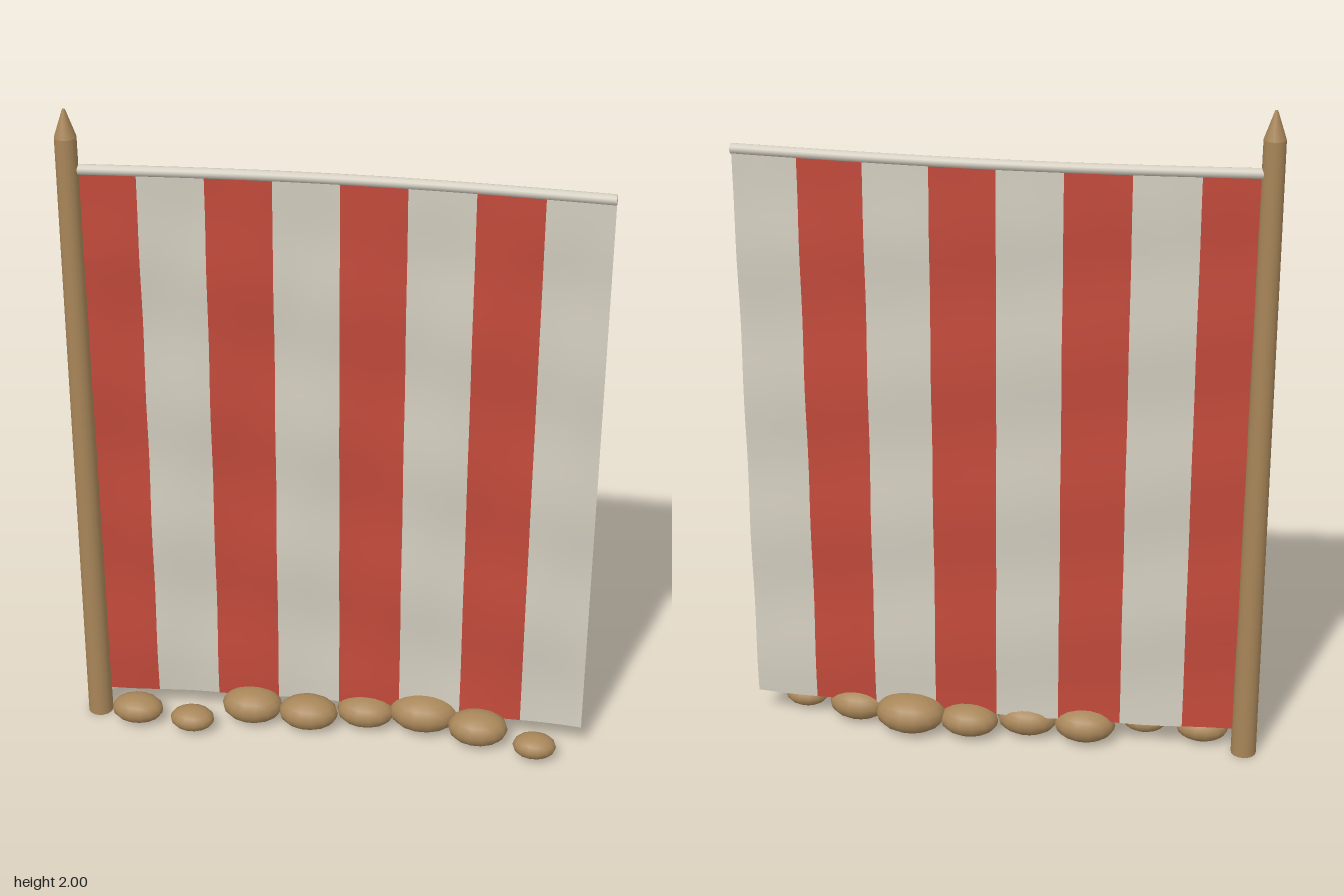
import * as THREE from 'three';

const wood = new THREE.MeshStandardMaterial({ name: 'tan', color: 0xa88659 });
const red = new THREE.MeshStandardMaterial({ name: 'red', color: 0xc24a3b, side: THREE.DoubleSide });
const cream = new THREE.MeshStandardMaterial({ name: 'cream', color: 0xd3cdbf, side: THREE.DoubleSide });

const LEFT = -0.73, WIDTH = 1.5, TOP = 1.825, BOTTOM = 0.08, STRIPES = 8;

// Backward bow shared by the rail and the cloth
const bow = (x) => -0.005 - 0.034 * Math.sin(Math.PI * (x - LEFT) / WIDTH);

// Small ripples that fade out at the rail
function clothZ(x, y) {
  const fade = Math.min(1, (TOP - y) / 0.25);
  return bow(x) + fade * (0.004 * Math.sin(y * 14 + x * 3) + 0.003 * Math.sin(x * 17 - y * 4));
}

function add(group, name, geometry, material, x = 0, y = 0, z = 0) {
  const mesh = new THREE.Mesh(geometry, material);
  mesh.name = name;
  mesh.position.set(x, y, z);
  group.add(mesh);
  return mesh;
}

// One vertical strip of the hanging cloth
function stripeGeometry(i) {
  const w = WIDTH / STRIPES;
  const g = new THREE.PlaneGeometry(w, TOP - BOTTOM, 6, 36);
  g.translate(LEFT + (i + 0.5) * w, (TOP + BOTTOM) / 2, 0);
  const p = g.attributes.position;
  for (let k = 0; k < p.count; k++) p.setZ(k, clothZ(p.getX(k), p.getY(k)));
  g.computeVertexNormals();
  return g;
}

export function createModel() {
  const model = new THREE.Group();
  model.name = 'stripedScreen';

  // Tapered post with a pointed cap
  add(model, 'post', new THREE.CylinderGeometry(0.031, 0.038, 1.92, 16), wood, LEFT, 0.96, -0.003);
  add(model, 'postTip', new THREE.CylinderGeometry(0.004, 0.031, 0.08, 16), wood, LEFT, 1.96, -0.003);

  // Curved top rail with closed ends
  const points = [];
  for (let i = 0; i <= 8; i++) {
    const x = LEFT + WIDTH * i / 8;
    points.push(new THREE.Vector3(x, TOP, bow(x)));
  }
  const curve = new THREE.CatmullRomCurve3(points);
  add(model, 'topRail', new THREE.TubeGeometry(curve, 32, 0.015, 12), cream);
  const end = points[8];
  const cap = add(model, 'railEnd', new THREE.CircleGeometry(0.015, 12), cream, end.x, end.y, end.z);
  cap.rotation.y = Math.PI / 2 - 0.07;

  // Cloth in alternating stripes
  for (let i = 0; i < STRIPES; i++) {
    add(model, 'clothStripe' + (i + 1), stripeGeometry(i), i % 2 ? cream : red);
  }

  // Stones along the foot: x, y, z, then the three radii
  const stones = [
    [-0.6, 0.05, 0.043, 0.08, 0.044, 0.058],
    [-0.423, 0.045, 0.065, 0.068, 0.037, 0.052],
    [-0.247, 0.06, -0.012, 0.094, 0.055, 0.07],
    [-0.07, 0.057, 0, 0.092, 0.052, 0.066],
    [0.105, 0.056, -0.036, 0.09, 0.05, 0.066],
    [0.285, 0.068, -0.042, 0.108, 0.061, 0.081],
    [0.456, 0.06, 0.009, 0.092, 0.053, 0.069],
    [0.633, 0.045, 0.057, 0.066, 0.037, 0.051],
  ];
  stones.forEach(([x, y, z, rx, ry, rz], i) => {
    const stone = add(model, 'stone' + (i + 1), new THREE.SphereGeometry(1, 14, 10), wood, x, y, z);
    stone.scale.set(rx, ry, rz);
  });

  return model;
}
